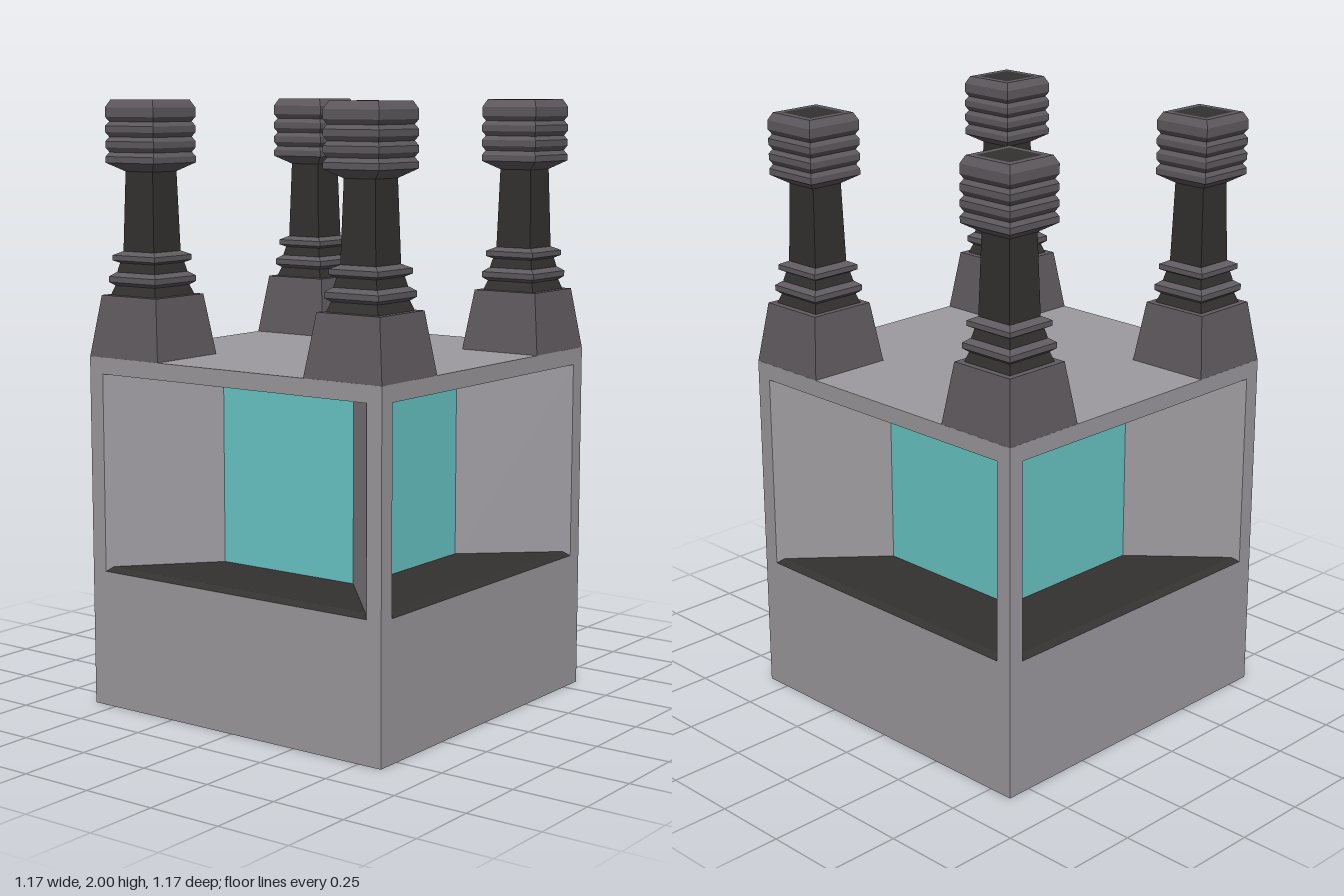
import * as THREE from 'three';

const mat = (color) => new THREE.MeshStandardMaterial({ color, flatShading: true });
const H = 0.585;          // half width of the body
const TOP = 1.17;         // height of the body
const CX = 0.4385;        // tower centre offset

function add(parent, name, geometry, material) {
  const mesh = new THREE.Mesh(geometry, material);
  mesh.name = name;
  parent.add(mesh);
  return mesh;
}

// Flat four-cornered face, corners counter-clockwise as seen from its front
function quad(a, b, c, d) {
  const g = new THREE.BufferGeometry();
  g.setAttribute('position', new THREE.Float32BufferAttribute([a, b, c, a, c, d].flat(), 3));
  g.computeVertexNormals();
  return g;
}

// Square tower section from [half width, height] pairs, bottom to top
function squareLathe(profile) {
  const points = profile.map(([r, y]) => new THREE.Vector2(r * Math.SQRT2, y));
  return new THREE.LatheGeometry(points, 4, Math.PI / 4);
}

export function createModel() {
  const model = new THREE.Group();
  model.name = 'towerBlock';
  const stone = mat(0x9e9ba0), trim = mat(0x605b60), dark = mat(0x333230), glass = mat(0x6ac8c8);

  // Roof and underside
  add(model, 'roof', quad([-H, TOP, H], [H, TOP, H], [H, TOP, -H], [-H, TOP, -H]), stone);
  add(model, 'underside', quad([-H, 0, -H], [H, 0, -H], [H, 0, H], [-H, 0, H]), stone);

  // Four equal sides, each with a tapering window recess
  const w = 0.53, wi = 0.265, zi = 0.289;      // opening and pane half widths, pane depth
  const lo = 0.457, sill = 0.472, hi = 1.115;  // opening heights
  const wl = 0.512, zl = 0.565;                // inner edge of the sill lip
  const face = new THREE.Shape([[-H, 0], [H, 0], [H, TOP], [-H, TOP]].map((p) => new THREE.Vector2(...p)));
  face.holes.push(new THREE.Path([[-w, lo], [-w, hi], [w, hi], [w, lo]].map((p) => new THREE.Vector2(...p))));

  for (let i = 0; i < 4; i++) {
    const side = new THREE.Group();
    side.name = 'side' + (i + 1);
    side.rotation.y = i * Math.PI / 2;
    model.add(side);
    add(side, 'wall', new THREE.ShapeGeometry(face).translate(0, 0, H), stone);
    add(side, 'recessRightWall', quad([-w, lo, H], [-wi, lo, zi], [-wi, hi, zi], [-w, hi, H]), stone);
    add(side, 'recessLeftWall', quad([wi, lo, zi], [w, lo, H], [w, hi, H], [wi, hi, zi]), stone);
    add(side, 'recessCeiling', quad([-w, hi, H], [-wi, hi, zi], [wi, hi, zi], [w, hi, H]), stone);
    add(side, 'sillLip', quad([-w, lo, H], [w, lo, H], [wl, sill, zl], [-wl, sill, zl]), dark);
    add(side, 'recessFloor', quad([-wl, sill, zl], [wl, sill, zl], [wi, sill, zi], [-wi, sill, zi]), dark);
    add(side, 'windowPane', quad([-wi, sill, zi], [wi, sill, zi], [wi, hi, zi], [-wi, hi, zi]), glass);
  }

  // Tower sections shared by the four corners
  const head = [[0.058, 1.77], [0.103, 1.798]];
  for (let i = 0; i < 4; i++) {
    const y = 1.798 + i * 0.049;
    head.push([0.103, y + 0.02]);
    if (i < 3) head.push([0.094, y + 0.034], [0.103, y + 0.049]);
  }
  head.push([0.103, 1.975], [0.09, 2], [0.069, 2]);
  const ring = (y, r, inner, h) =>
    squareLathe([[inner, y], [r, y + h * 0.3], [r, y + h * 0.7], [inner, y + h]]);
  const sections = [
    ['towerBase', squareLathe([[0.146, TOP], [0.117, 1.37], [0, 1.37]]), trim],
    ['towerNeck', squareLathe([[0.096, 1.37], [0.082, 1.41], [0.082, 1.44], [0.07, 1.49], [0.066, 1.505]]), dark],
    ['lowerRing', ring(1.398, 0.1, 0.082, 0.046), trim],
    ['upperRing', ring(1.47, 0.091, 0.066, 0.042), trim],
    ['towerShaft', squareLathe([[0.066, 1.5], [0.058, 1.775]]), dark],
    ['ribbedHead', squareLathe(head), trim],
    ['towerCap', squareLathe([[0.069, 2], [0, 2]]), dark],
  ];
  for (const sx of [-1, 1]) {
    for (const sz of [-1, 1]) {
      const tower = new THREE.Group();
      tower.name = (sz > 0 ? 'front' : 'back') + (sx > 0 ? 'Left' : 'Right') + 'Tower';
      tower.position.set(sx * CX, 0, sz * CX);
      for (const [name, geometry, material] of sections) add(tower, name, geometry, material);
      model.add(tower);
    }
  }
  return model;
}
